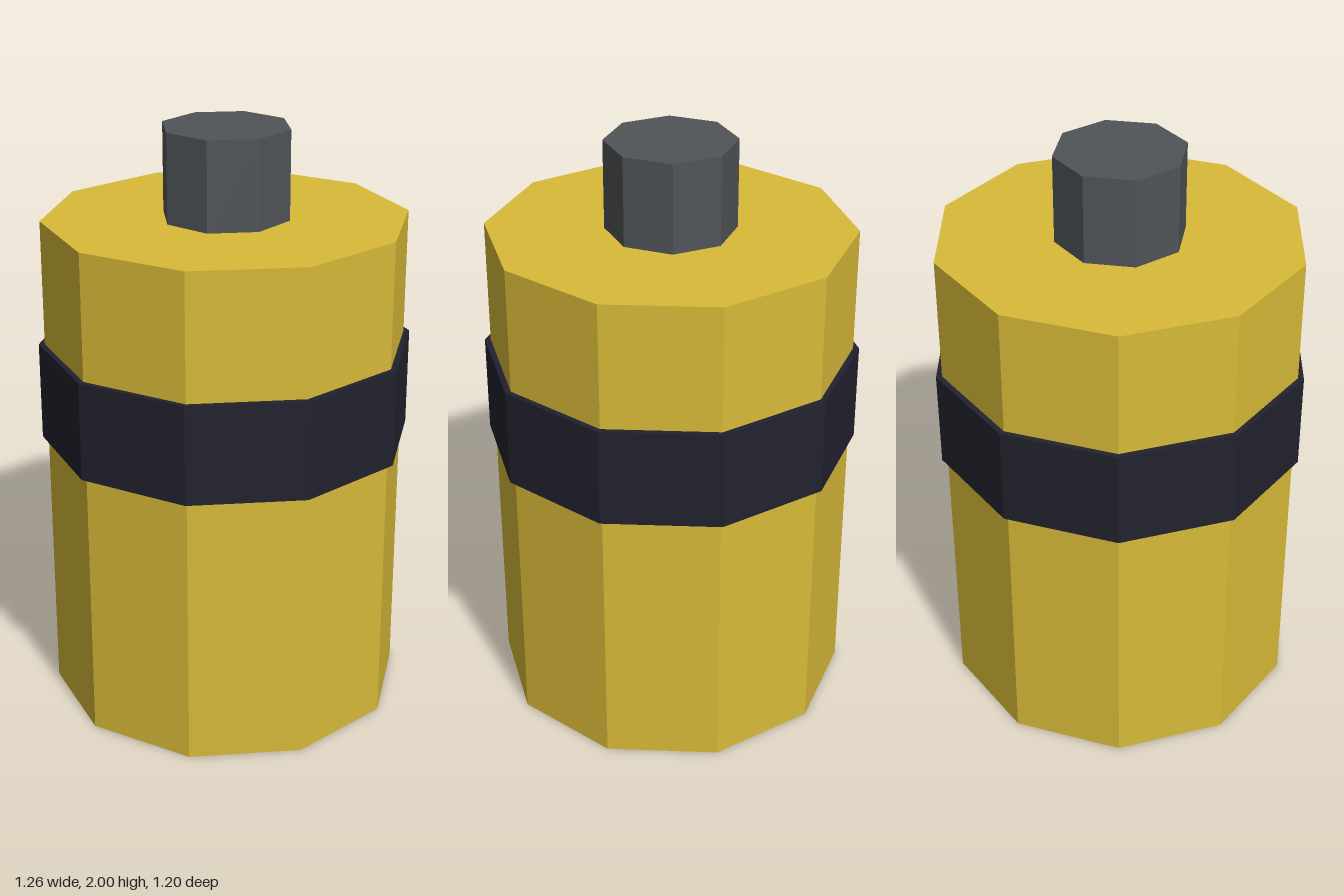
import * as THREE from 'three';

function flat(name, hex) {
  const material = new THREE.MeshStandardMaterial({ color: hex, flatShading: true });
  material.name = name;
  return material;
}

// Upright faceted prism between two heights
function prism(name, radius, sides, bottom, top, turn, material) {
  const geometry = new THREE.CylinderGeometry(radius, radius, top - bottom, sides);
  geometry.rotateY(turn);
  geometry.translate(0, (bottom + top) / 2, 0);
  const mesh = new THREE.Mesh(geometry, material);
  mesh.name = name;
  return mesh;
}

export function createModel() {
  const yellow = flat('yellow', 0xd8ba38);
  const black = flat('black', 0x22222e);
  const grey = flat('grey', 0x505458);

  const model = new THREE.Group();
  model.name = 'canister';
  model.add(
    // Ten-sided body and band, with corners on the x axis
    prism('body', 0.61, 10, 0, 1.7, Math.PI / 2, yellow),
    prism('band', 0.63, 10, 0.94, 1.275, Math.PI / 2, black),
    // Eight-sided terminal, with flats facing x and z
    prism('terminal', 0.2 / Math.cos(Math.PI / 8), 8, 1.7, 2, Math.PI / 8, grey)
  );
  return model;
}
